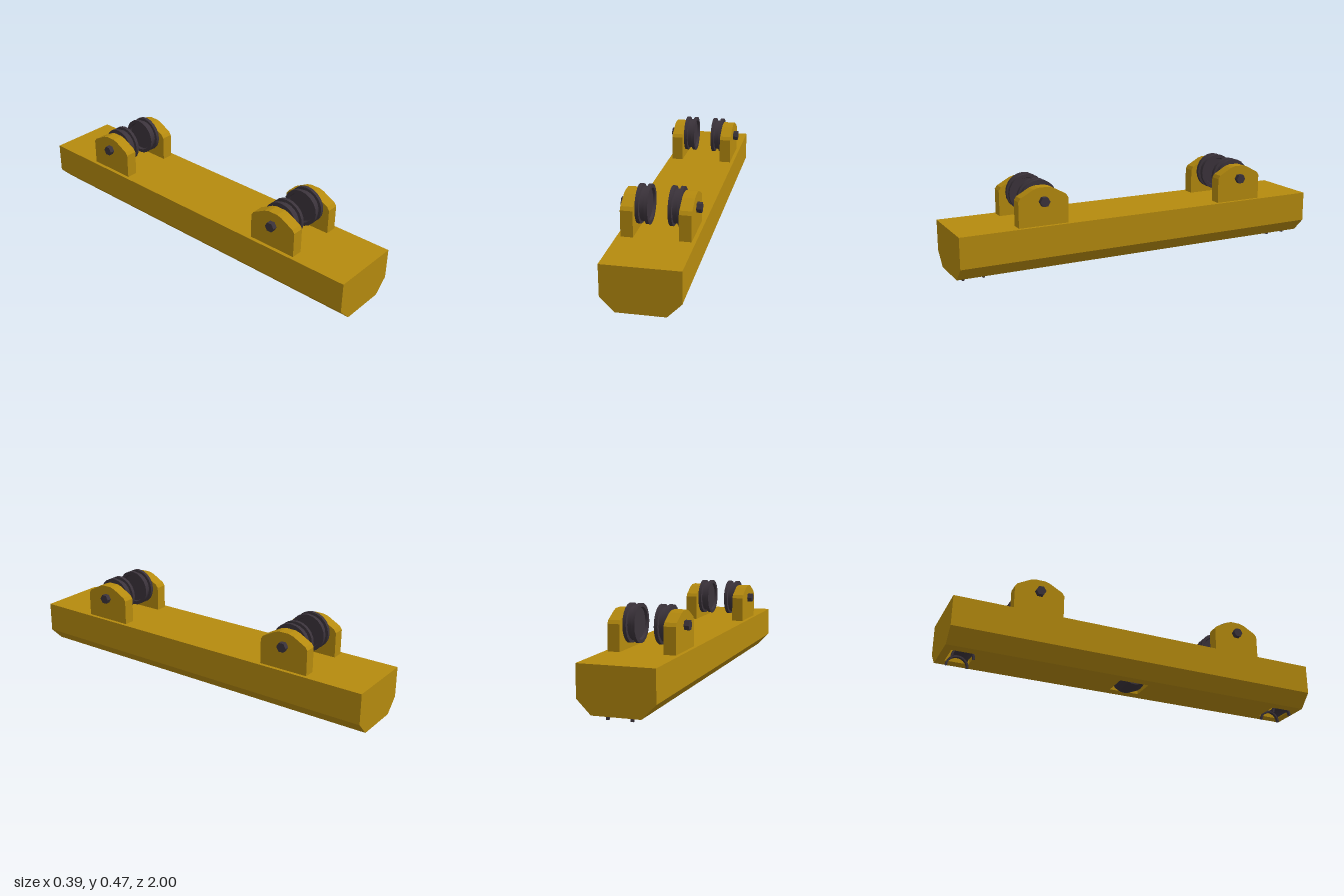
import * as THREE from 'three';
import { toCreasedNormals } from 'three/addons/utils/BufferGeometryUtils.js';

const yellow = new THREE.MeshStandardMaterial({ color: 0xb58a0e });
yellow.name = 'yellow paint';
const dark = new THREE.MeshStandardMaterial({ color: 0x3b333b, side: THREE.DoubleSide });
dark.name = 'dark steel';

const vecs = (pts) => pts.map(([x, y]) => new THREE.Vector2(x, y));

function add(parent, name, geometry, material, x = 0, y = 0, z = 0) {
  const mesh = new THREE.Mesh(geometry, material);
  mesh.name = name;
  mesh.position.set(x, y, z);
  parent.add(mesh);
  return mesh;
}

function prism(pts, depth) {
  return new THREE.ExtrudeGeometry(new THREE.Shape(vecs(pts)), { depth, bevelEnabled: false, steps: 1 })
    .translate(0, 0, -depth / 2);
}

// Solid of revolution about the x axis; points are [radius, x]
function turned(pts, segments, start = 0, sweep = Math.PI * 2) {
  const g = new THREE.LatheGeometry(vecs(pts), segments, start, sweep).rotateZ(-Math.PI / 2);
  return toCreasedNormals(g, 0.6);
}

const BASE = 0.025, WAIST = 0.095, TOP = 0.253, POCKET = 0.066;

function buildBeam() {
  const beam = new THREE.Group();
  beam.name = 'beam';
  add(beam, 'upperBeam', new THREE.BoxGeometry(0.374, TOP - WAIST, 2), yellow, 0, (TOP + WAIST) / 2, 0);
  // chamfered lower flanks
  const flank = [[POCKET, BASE], [0.118, BASE], [0.187, WAIST], [POCKET, WAIST]];
  for (const turn of [0, Math.PI]) add(beam, 'lowerFlank', prism(flank, 2), yellow).rotation.y = turn;
  // keel blocks leave three pockets between them
  for (const [a, b] of [[-1, -0.96], [-0.84, -0.08], [0.08, 0.84], [0.96, 1]]) {
    add(beam, 'keelBlock', new THREE.BoxGeometry(POCKET * 2, WAIST - BASE, b - a), yellow,
      0, (WAIST + BASE) / 2, (a + b) / 2);
  }
  return beam;
}

// Bracket, grooved wheel and bolt on the +x side
function buildWheelUnit() {
  const unit = new THREE.Group();
  unit.name = 'wheelUnit';
  const half = [[0.13, TOP], [0.13, 0.383], [0.118, 0.4], [0.05, 0.437], [0.025, 0.444]];
  const outline = [...half, ...half.map(([z, y]) => [-z, y]).reverse()];
  add(unit, 'bracket', prism(outline, 0.06).rotateY(Math.PI / 2), yellow, 0.138, 0, 0);

  const wheel = [
    [0, 0.06], [0.074, 0.06], [0.078, 0.048], [0.096, 0.048], [0.096, 0.065], [0.082, 0.067],
    [0.082, 0.089], [0.096, 0.091], [0.096, 0.108], [0, 0.108],
  ];
  add(unit, 'wheel', turned(wheel, 20), dark, 0, 0.373, 0);

  const bolt = new THREE.CylinderGeometry(0.026, 0.026, 0.03, 6).toNonIndexed();
  bolt.computeVertexNormals();
  add(unit, 'bolt', bolt.rotateZ(-Math.PI / 2), dark, 0.178, 0.375, 0);
  return unit;
}

// Arched guide with four lip feet below the pocket
function buildGuide() {
  const guide = new THREE.Group();
  guide.name = 'archGuide';
  const cut = Math.asin(BASE / 0.057);
  // sweeps run over the top from +z to -z
  const arch = (pts, trim) => turned(pts, 14, Math.PI * 1.5 - Math.PI / 2 + Math.PI + trim, Math.PI - trim * 2);
  const shell = arch([[0.057, -0.05], [0.05, -0.025], [0.047, 0], [0.05, 0.025], [0.057, 0.05]], cut);
  const lip = arch([[0.048, -0.008], [0.058, -0.008], [0.058, 0.008], [0.048, 0.008], [0.048, -0.008]], 0);
  const turn = new THREE.Vector3(0, 1, 0);
  const parts = [add(guide, 'guideSaddle', shell, dark)];
  for (const x of [-0.058, 0.058]) parts.push(add(guide, 'guideLip', lip, dark, x));
  // point every arch upward whichever way its sweep begins
  for (const m of parts) {
    m.geometry.computeBoundingBox();
    const { min, max } = m.geometry.boundingBox;
    if (min.y + max.y < 0) m.quaternion.setFromAxisAngle(turn.set(1, 0, 0), Math.PI);
  }
  return guide;
}

export function createModel() {
  const model = new THREE.Group();
  model.name = 'beamTrolley';
  model.add(buildBeam());

  for (const z of [-0.567, 0.567]) {
    for (const turn of [0, Math.PI]) {
      const unit = buildWheelUnit();
      unit.position.z = z;
      unit.rotation.y = turn;
      model.add(unit);
    }
  }

  for (const z of [-0.9, 0.9]) {
    const guide = buildGuide();
    guide.position.z = z;
    model.add(guide);
  }

  // double-cone roller in the middle pocket
  const roller = turned([[0, -0.064], [0.077, -0.064], [0.093, 0], [0.077, 0.064], [0, 0.064]], 24);
  add(model, 'middleRoller', roller, dark, 0, 0.095, 0);
  return model;
}
